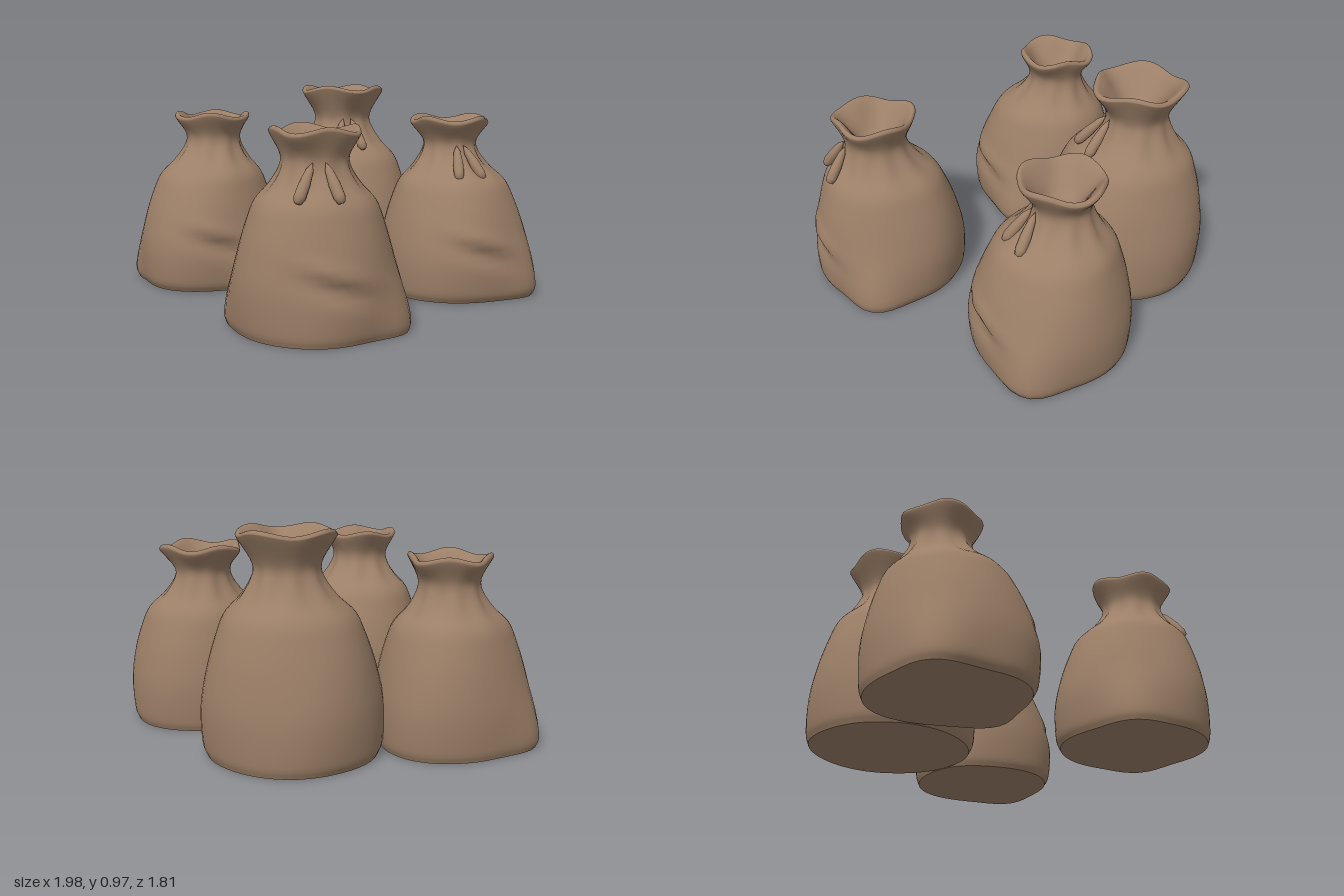
import * as THREE from 'three';

const burlap = new THREE.MeshStandardMaterial({ color: 0x9c7f67 });
burlap.name = 'brown burlap';

const SEGMENTS = 56;
const ROWS = 64;
const DEG = Math.PI / 180;

// [share of neck height, blend from belly outline to neck outline]
const BODY = [[0, 0.1], [0.07, 0.02], [0.27, 0], [0.47, 0.12], [0.64, 0.3], [0.74, 0.46], [0.83, 0.77], [0.92, 0.97], [1, 1]];
// [drop below the rim, share of rim radius], over the lip and into the mouth
const MOUTH = [[0.03, 0.97], [0.01, 1], [0, 0.93], [0.025, 0.78], [0.08, 0.55], [0.13, 0.32], [0.145, 0]];

// ears: [angle, reach] of the bottom corners; ties: angles of the tie ends
const sacks = [
  {
    name: 'leftSack', seed: 0.6, belly: { x: -0.61, z: -0.03, rx: 0.33, rz: 0.37 },
    neck: { x: -0.615, z: -0.08, y: 0.73, r: 0.137 }, rim: { y: 0.83, r: 0.182 },
    ears: [[167, 0.07], [10, 0.07]], fold: 0.025, ties: [],
  },
  {
    name: 'backSack', seed: 2.1, belly: { x: -0.1, z: -0.52, rx: 0.39, rz: 0.39 },
    neck: { x: -0.105, z: -0.56, y: 0.82, r: 0.145 }, rim: { y: 0.955, r: 0.208 },
    ears: [[5, 0.01], [178, 0.01]], fold: 0.01, ties: [74, 44],
  },
  {
    name: 'rightSack', seed: 3.7, belly: { x: 0.58, z: -0.31, rx: 0.35, rz: 0.35 },
    neck: { x: 0.545, z: -0.345, y: 0.72, r: 0.13 }, rim: { y: 0.825, r: 0.185 },
    ears: [[2, 0.06], [180, 0.01]], fold: 0.025, ties: [63, 34],
  },
  {
    name: 'frontSack', seed: 5.2, belly: { x: 0.23, z: 0.55, rx: 0.34, rz: 0.36 },
    neck: { x: 0.243, z: 0.582, y: 0.72, r: 0.142 }, rim: { y: 0.825, r: 0.185 },
    ears: [[170, 0.06], [-7, 0.075]], fold: 0.025, ties: [82, 41],
  },
];

// Cloth body: rings blended along a curve from floor to neck, lip and mouth
function clothGeometry({ seed, belly, neck, rim, ears, fold }) {
  const { lerp, smoothstep } = THREE.MathUtils;
  const centers = [], radii = [];
  for (const [h, k] of BODY) {
    centers.push(new THREE.Vector3(lerp(belly.x, neck.x, k), h * neck.y, lerp(belly.z, neck.z, k)));
    radii.push(new THREE.Vector3(lerp(belly.rx, neck.r, k), 0, lerp(belly.rz, neck.r, k)));
  }
  for (const [drop, share] of MOUTH) {
    centers.push(new THREE.Vector3(neck.x, rim.y - drop, neck.z));
    radii.push(new THREE.Vector3(rim.r * share, 0, rim.r * share));
  }
  const centerCurve = new THREE.CatmullRomCurve3(centers, false, 'catmullrom', 0.5);
  const radiusCurve = new THREE.CatmullRomCurve3(radii, false, 'catmullrom', 0.5);
  const bodyEnd = (BODY.length - 1) / (centers.length - 1);
  const bell = (v, width) => Math.exp(-((v / width) ** 2));

  const point = (t, a) => {
    const c = centerCurve.getPoint(t), r = radiusCurve.getPoint(t);
    const wave = smoothstep(c.y, neck.y - 0.02, rim.y);
    const gap = (deg) => Math.atan2(Math.sin(a - deg * DEG), Math.cos(a - deg * DEG));
    // wavy lip and slightly uneven cloth
    const scale = 1 + wave * (0.035 * Math.cos(5 * a + seed) + 0.03 * Math.cos(3 * a - seed))
      + 0.012 * Math.sin(4 * a + seed * 2 + c.y * 6);
    let push = 0;
    if (t < bodyEnd) {
      for (const [deg, reach] of ears) push += reach * bell(gap(deg), 0.36) * bell(c.y, 0.19);
      // slanting crease with a ridge above it
      const d = c.y - 0.22 - 0.08 * gap(50);
      push += fold * bell(gap(50), 0.4) * (0.7 * bell(d - 0.06, 0.035) - bell(d, 0.04));
      // pleats gathered into the neck
      push += 0.007 * Math.cos(9 * a + seed) * bell(c.y - neck.y + 0.1, 0.07);
    }
    return [
      c.x + Math.cos(a) * (r.x * scale + push),
      Math.max(0, c.y + wave * 0.012 * Math.cos(4 * a + seed * 3)),
      c.z + Math.sin(a) * (r.z * scale + push),
    ];
  };

  const positions = [], index = [];
  // two base rows (middle and edge) keep the floor edge sharp
  for (let row = -2; row <= ROWS; row++) {
    for (let j = 0; j < SEGMENTS; j++) {
      const a = (j / SEGMENTS) * Math.PI * 2;
      if (row === -2) positions.push(belly.x, 0, belly.z);
      else positions.push(...point(Math.max(0, row) / ROWS, a));
    }
  }
  for (let i = 0; i < ROWS + 2; i++) {
    if (i === 1) continue;
    for (let j = 0; j < SEGMENTS; j++) {
      const a = i * SEGMENTS + j, b = i * SEGMENTS + ((j + 1) % SEGMENTS);
      const c = a + SEGMENTS, d = b + SEGMENTS;
      index.push(a, c, d, a, d, b);
    }
  }
  const geometry = new THREE.BufferGeometry();
  geometry.setAttribute('position', new THREE.Float32BufferAttribute(positions, 3));
  geometry.setIndex(index);
  geometry.computeVertexNormals();
  return geometry;
}

// Tapered tie end, running from the neck out to the shoulder
function tieMesh({ neck, rim }, degrees) {
  const spot = (deg, radius, drop) => new THREE.Vector3(
    neck.x + Math.cos(deg * DEG) * radius, neck.y - drop, neck.z + Math.sin(deg * DEG) * radius);
  const top = spot((degrees + 57) / 2, neck.r, 0.02);
  const end = spot(degrees, rim.r * 1.33, 0.17);
  const length = top.distanceTo(end);
  const profile = [[0, 0], [0.016, 0.03], [0.024, 0.15], [0.024, 0.45], [0.016, 0.8], [0, 1]]
    .map(([r, h]) => new THREE.Vector2(r, h * length));
  const mesh = new THREE.Mesh(new THREE.LatheGeometry(profile, 12), burlap);
  mesh.name = 'tieEnd';
  mesh.position.copy(end);
  mesh.quaternion.setFromUnitVectors(new THREE.Vector3(0, 1, 0), top.sub(end).normalize());
  return mesh;
}

export function createModel() {
  const model = new THREE.Group();
  model.name = 'sacks';
  for (const spec of sacks) {
    const sack = new THREE.Group();
    sack.name = spec.name;
    const cloth = new THREE.Mesh(clothGeometry(spec), burlap);
    cloth.name = 'cloth';
    sack.add(cloth, ...spec.ties.map((degrees) => tieMesh(spec, degrees)));
    model.add(sack);
  }
  return model;
}
